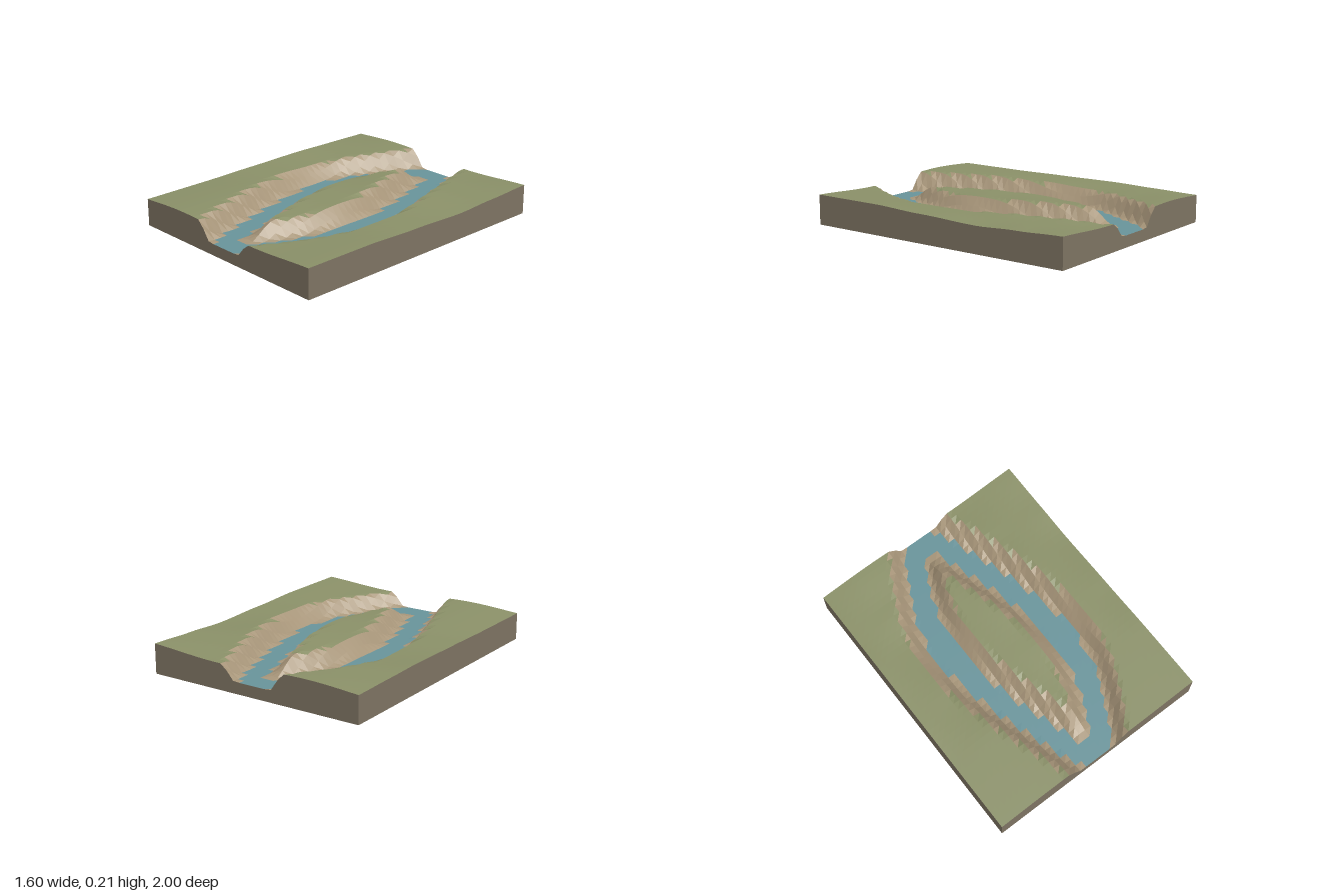
import * as THREE from 'three';

const W = 1.6, L = 2, CELL = 0.05, WATER = 0.08;
const NX = Math.round(W / CELL), NZ = Math.round(L / CELL);

// Strength of the ground swell along the length, as [z, value]
const SWELL = [[-1, 1], [-0.65, 0], [-0.35, -1], [0.1, 0], [0.5, 1], [1, 1]];

function swell(z) {
  for (let i = 1; i < SWELL.length; i++) {
    const [z0, a] = SWELL[i - 1], [z1, b] = SWELL[i];
    if (z <= z1 + 1e-6) return a + (b - a) * THREE.MathUtils.smoothstep(z, z0, z1);
  }
  return 1;
}

// Rolling ground cut by a river that parts around an island
function height(x, z) {
  const ground = 0.195 + 0.015 * Math.cos(4.8 * (x + 0.4)) * swell(z);
  const spread = 0.34 * Math.cos(1.45 * z);
  const shear = 0.042 * Math.sin(Math.PI * z);
  const d = Math.min(Math.abs(x - shear - spread), Math.abs(x - shear + spread));
  // the water between the branches near the ends stays open
  const bank = THREE.MathUtils.smoothstep(d, 0.095, 0.205);
  return WATER + (ground - WATER) * bank;
}

const point = (i, j) => {
  const x = -W / 2 + i * CELL, z = -L / 2 + j * CELL;
  return new THREE.Vector3(x, height(x, z), z);
};

function makeMesh(name, corners, color) {
  const geometry = new THREE.BufferGeometry().setFromPoints(corners);
  geometry.computeVertexNormals();
  const material = new THREE.MeshStandardMaterial({ color, flatShading: true });
  const mesh = new THREE.Mesh(geometry, material);
  mesh.name = name;
  return mesh;
}

export function createModel() {
  const grass = [], rock = [], water = [], soil = [];

  // Sort each surface triangle into water, steep rock or grass
  const addTriangle = (a, b, c) => {
    const normal = new THREE.Triangle(a, b, c).getNormal(new THREE.Vector3());
    const top = Math.max(a.y, b.y, c.y);
    const list = top < WATER + 0.004 ? water : normal.y < 0.9 || top < 0.15 ? rock : grass;
    list.push(a, b, c);
  };
  for (let j = 0; j < NZ; j++) {
    for (let i = 0; i < NX; i++) {
      const a = point(i, j), b = point(i, j + 1), c = point(i + 1, j + 1), d = point(i + 1, j);
      addTriangle(a, b, d);
      addTriangle(b, c, d);
    }
  }

  // Cut earth walls around the block; each runs left to right seen from outside
  const addWall = (p, q) => {
    const p0 = p.clone().setY(0), q0 = q.clone().setY(0);
    soil.push(p0, q0, q, p0, q, p);
  };
  for (let i = 0; i < NX; i++) {
    addWall(point(i, NZ), point(i + 1, NZ));
    addWall(point(i + 1, 0), point(i, 0));
  }
  for (let j = 0; j < NZ; j++) {
    addWall(point(NX, j + 1), point(NX, j));
    addWall(point(0, j), point(0, j + 1));
  }

  // Flat underside
  const [a, b, c, d] = [[0, 0], [NX, 0], [NX, NZ], [0, NZ]].map(([i, j]) => point(i, j).setY(0));
  soil.push(a, b, c, a, c, d);

  const group = new THREE.Group();
  group.name = 'riverTerrain';
  group.add(
    makeMesh('grassland', grass, 0x8a9068),
    makeMesh('rockyBanks', rock, 0xa8967a),
    makeMesh('riverWater', water, 0x68939a),
    makeMesh('earthBase', soil, 0x7d7362)
  );
  return group;
}
